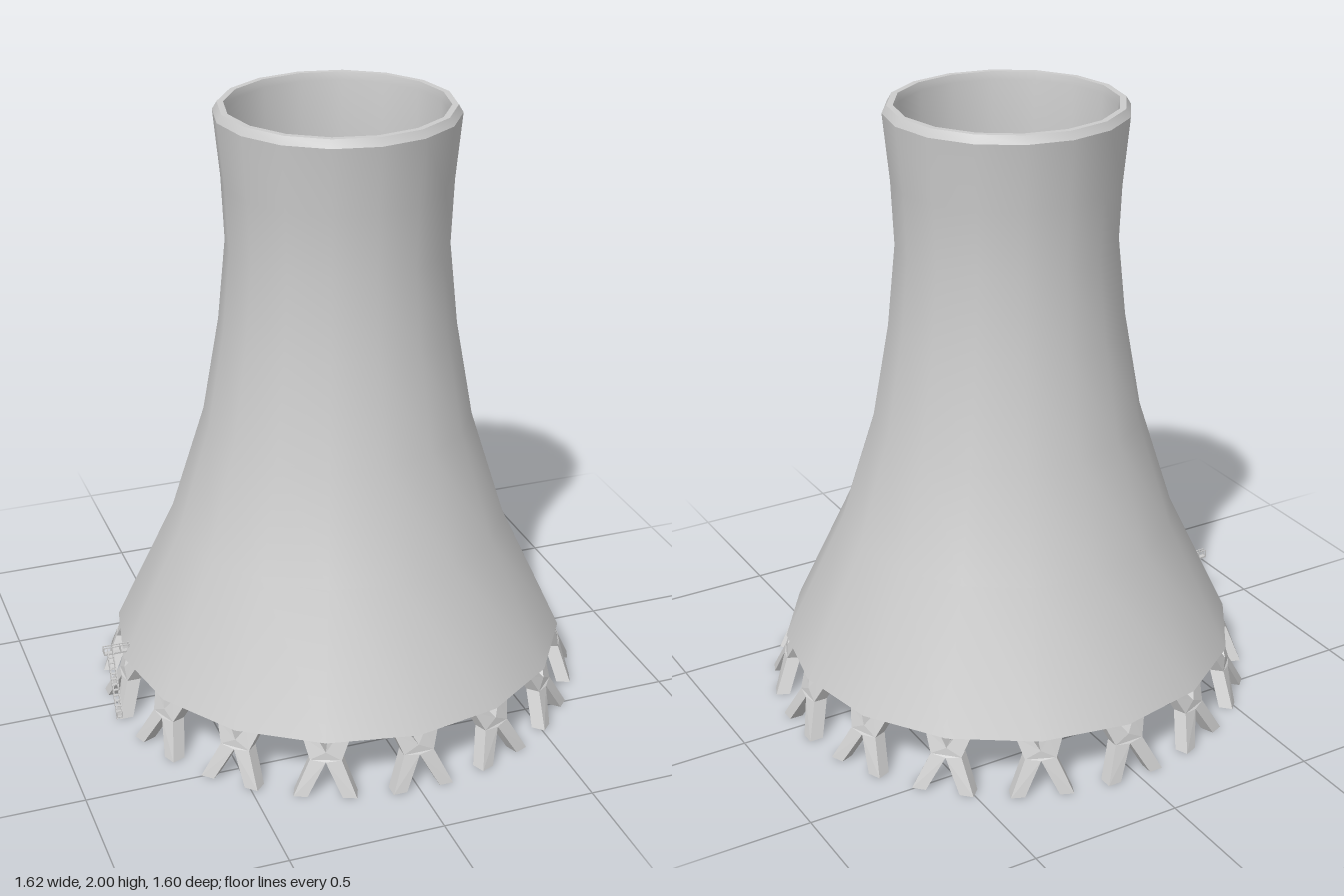
import * as THREE from 'three';
import { toCreasedNormals } from 'three/addons/utils/BufferGeometryUtils.js';

const SIDES = 16;
const material = new THREE.MeshStandardMaterial({ color: 0xcccccc });
const openMaterial = new THREE.MeshStandardMaterial({ color: 0xcccccc, side: THREE.DoubleSide });

function addMesh(parent, name, geometry, mat = material) {
  const mesh = new THREE.Mesh(geometry, mat);
  mesh.name = name;
  parent.add(mesh);
  return mesh;
}

function addBox(parent, name, size, position) {
  const mesh = addMesh(parent, name, new THREE.BoxGeometry(...size));
  mesh.position.set(...position);
  return mesh;
}

// Box beam running between two points
function addBeam(parent, name, a, b, width, depth) {
  const from = new THREE.Vector3(...a), to = new THREE.Vector3(...b);
  const mesh = addMesh(parent, name, new THREE.BoxGeometry(width, depth, from.distanceTo(to)));
  mesh.position.copy(from).add(to).multiplyScalar(0.5);
  mesh.lookAt(to);
  return mesh;
}

// Crossed pair of legs, leaning outward towards the feet
function legPairGeometry() {
  const half = [[0.055, 0], [0.1, 0], [0.05, 0.11], [0.075, 0.175], [0.028, 0.175]];
  const outline = [[0, 0.105], ...half, [0, 0.135],
    ...half.map(([x, y]) => [-x, y]).reverse()];
  const shape = new THREE.Shape(outline.map(([x, y]) => new THREE.Vector2(x, y)));
  const geometry = new THREE.ExtrudeGeometry(shape, { depth: 0.045, bevelEnabled: false });
  const p = geometry.attributes.position;
  for (let i = 0; i < p.count; i++) {
    const lean = p.getY(i) / 0.175;
    p.setZ(i, p.getZ(i) + 0.755 - 0.06 * lean - 0.15 * Math.abs(p.getX(i)) * lean);
  }
  geometry.computeVertexNormals();
  return geometry;
}

export function createModel() {
  const model = new THREE.Group();
  model.name = 'coolingTower';

  const tower = new THREE.Group();
  tower.name = 'tower';
  tower.position.x = 0.012;
  model.add(tower);

  // Waisted shell: outside, bevelled rim, then the inner wall
  const profile = [
    [0.755, 0.17], [0.553, 0.6], [0.44, 0.96], [0.384, 1.28], [0.357, 1.55],
    [0.366, 1.76], [0.387, 1.975], [0.372, 2], [0.352, 2], [0.346, 1.975],
    [0.346, 1.55], [0.37, 1.28], [0.426, 0.96], [0.539, 0.6], [0.735, 0.17],
  ].map(([r, y]) => new THREE.Vector2(r, y));
  addMesh(tower, 'shell', toCreasedNormals(new THREE.LatheGeometry(profile, SIDES), 0.6), openMaterial);

  // Basin floor closing the bottom of the shell
  const floor = addMesh(tower, 'basinFloor', new THREE.CircleGeometry(0.75, SIDES), openMaterial);
  floor.rotation.set(-Math.PI / 2, 0, 0);
  floor.position.y = 0.172;

  // Ring of legs
  const legs = new THREE.Group();
  legs.name = 'legs';
  tower.add(legs);
  const legGeometry = legPairGeometry();
  for (let i = 0; i < SIDES; i++) {
    addMesh(legs, 'legPair', legGeometry).rotation.y = (i / SIDES) * Math.PI * 2;
  }

  // Access platform with railings on the right side
  const access = new THREE.Group();
  access.name = 'accessStair';
  model.add(access);
  addBox(access, 'platform', [0.1, 0.006, 0.016], [-0.758, 0.195, -0.004]);
  for (const z of [-0.011, 0.003]) {
    addBox(access, 'platformRail', [0.09, 0.003, 0.003], [-0.765, 0.22, z]);
    for (let i = 0; i < 4; i++) {
      addBox(access, 'railPost', [0.003, 0.025, 0.003], [-0.808 + i * 0.028, 0.208, z]);
    }
  }

  // Sloping stair down to the ground
  for (const x of [-0.797, -0.779]) {
    addBeam(access, 'stringer', [x, 0.002, 0.1], [x, 0.195, 0.004], 0.003, 0.009);
    addBeam(access, 'handrail', [x, 0.03, 0.1], [x, 0.22, 0.004], 0.003, 0.003);
    for (let i = 0; i < 3; i++) {
      const t = i / 2.5;
      addBox(access, 'handrailPost', [0.003, 0.028, 0.003], [x, 0.016 + 0.19 * t, 0.1 - 0.096 * t]);
    }
  }
  const STEPS = 12;
  for (let i = 0; i < STEPS; i++) {
    const t = (i + 0.5) / STEPS;
    addBox(access, 'step', [0.018, 0.003, 0.009], [-0.788, 0.193 * t, 0.1 - 0.096 * t]);
  }
  return model;
}
